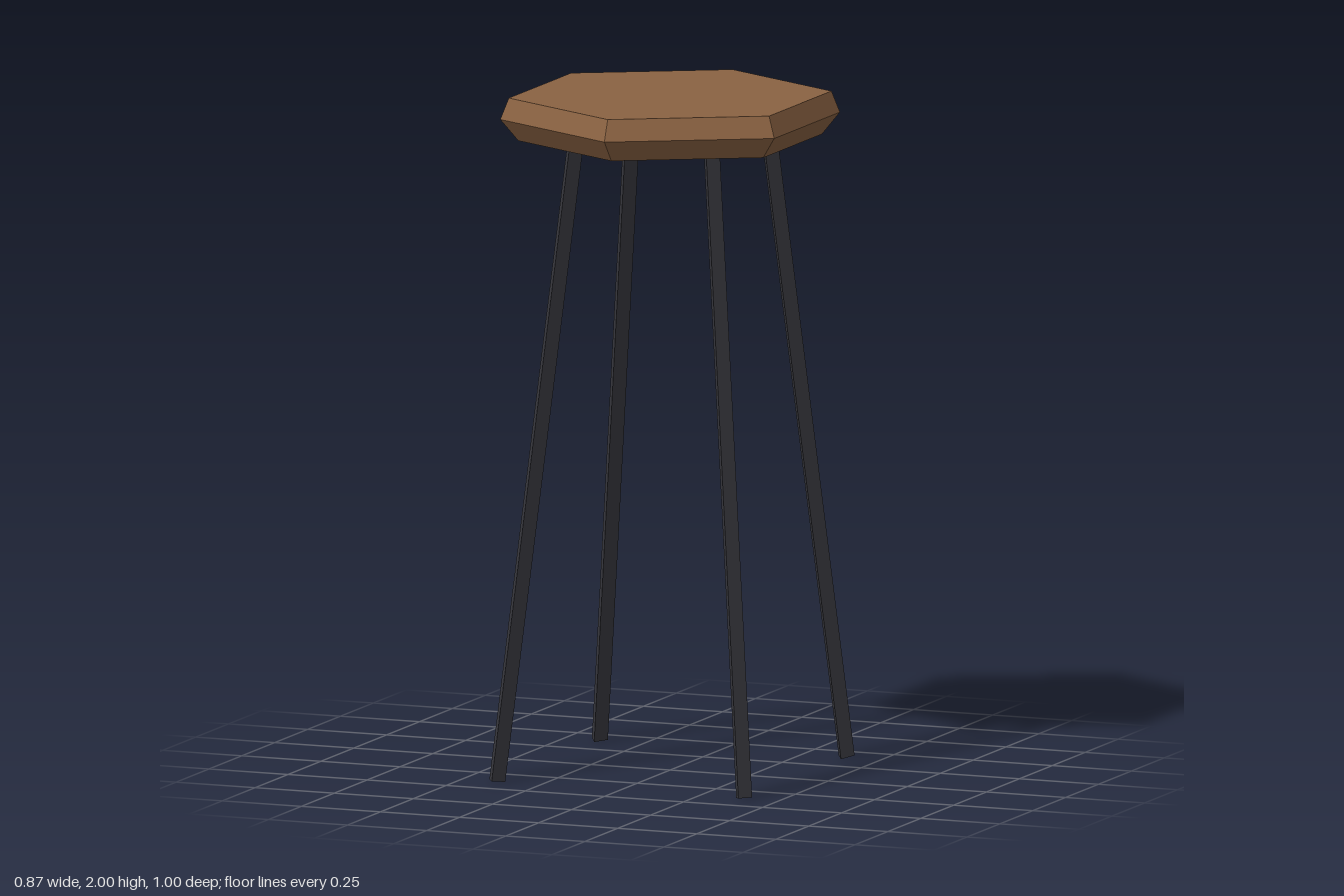
import * as THREE from 'three';

const wood = new THREE.MeshStandardMaterial({ color: 0x8a6242, flatShading: true });
wood.name = 'brown wood';
const metal = new THREE.MeshStandardMaterial({ color: 0x38383e, flatShading: true });
metal.name = 'dark metal';

// Hexagonal seat with bevelled upper and lower rims
function createSeat() {
  const profile = [[0, 1.873], [0.447, 1.873], [0.5, 1.937], [0.475, 2], [0, 2]]
    .map(([r, y]) => new THREE.Vector2(r, y));
  const seat = new THREE.Mesh(new THREE.LatheGeometry(profile, 6), wood);
  seat.name = 'seat';
  return seat;
}

// Three-sided leg, splayed outwards, with one edge facing the front
function createLeg(name, sx, sz) {
  const foot = new THREE.Vector3(0.39 * sx, 0.004, 0.39 * sz);
  const top = new THREE.Vector3(0.214 * sx, 1.89, 0.214 * sz);
  const axis = top.clone().sub(foot);
  const leg = new THREE.Mesh(new THREE.CylinderGeometry(0.029, 0.029, axis.length(), 3), metal);
  leg.position.copy(foot).add(top).multiplyScalar(0.5);
  leg.quaternion.setFromUnitVectors(new THREE.Vector3(0, 1, 0), axis.normalize());
  leg.name = name;
  return leg;
}

export function createModel() {
  const stool = new THREE.Group();
  stool.name = 'stool';
  stool.add(createSeat());
  for (const [sideX, sx] of [['Left', 1], ['Right', -1]]) {
    for (const [sideZ, sz] of [['front', 1], ['back', -1]]) {
      stool.add(createLeg(`${sideZ}${sideX}Leg`, sx, sz));
    }
  }
  return stool;
}
